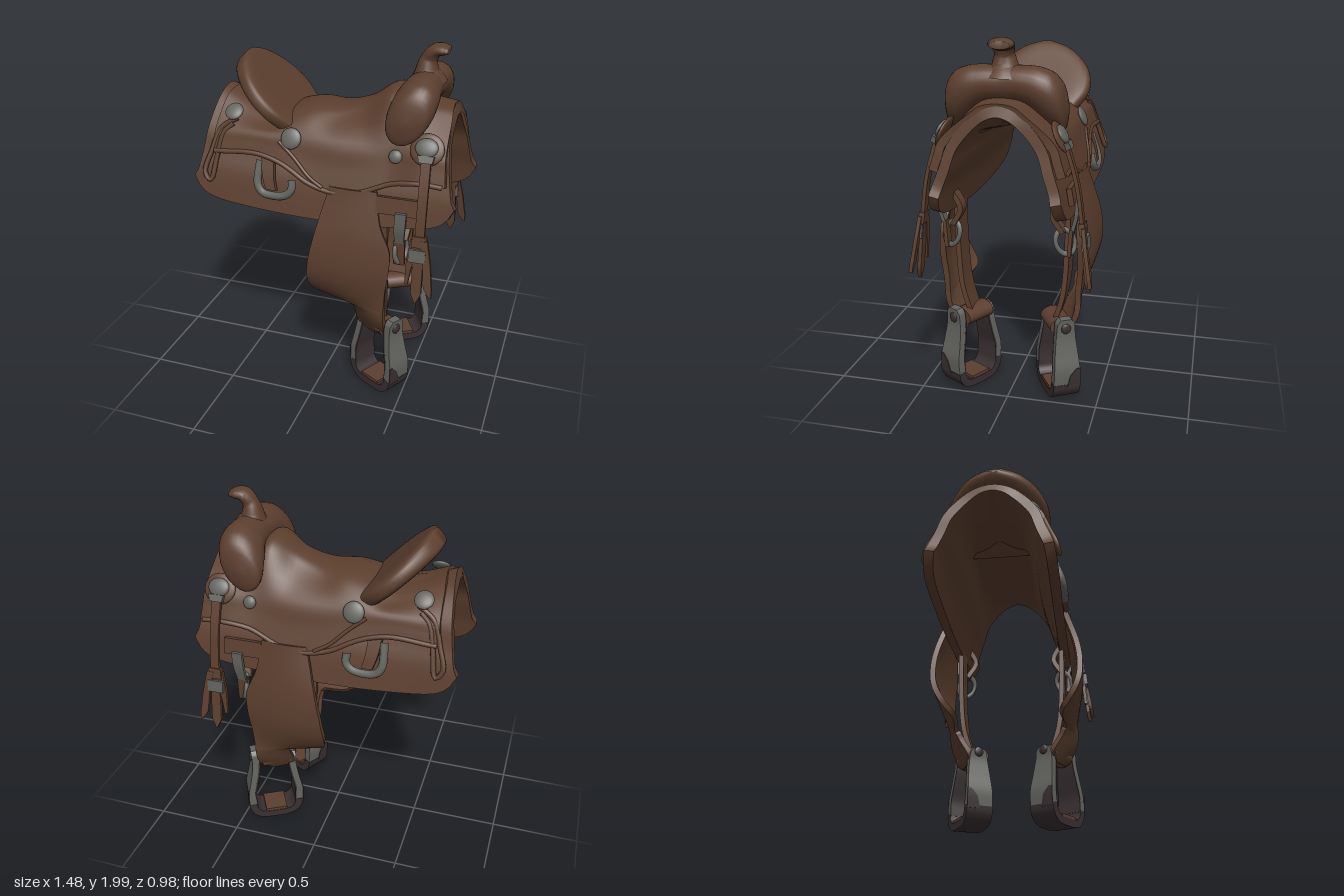
import * as THREE from 'three';
import { toCreasedNormals } from 'three/addons/utils/BufferGeometryUtils.js';

const V = (x, y, z) => new THREE.Vector3(x, y, z);

// Smooth lookup through rows of [key, value, value...]
function table(rows) {
  const n = rows[0].length - 1;
  const it = new THREE.CubicInterpolant(rows.map(r => r[0]), rows.flatMap(r => r.slice(1)), n, new Float32Array(n));
  return n === 1 ? t => it.evaluate(t)[0] : t => Array.from(it.evaluate(t));
}

// Closed solid through rings of equal, even point count
function loft(rings, crease = 0.7) {
  const n = rings[0].length, pos = [], idx = [];
  rings.forEach(r => r.forEach(p => pos.push(p.x, p.y, p.z)));
  const quad = (a, b, c, d) => idx.push(a, b, c, a, c, d);
  for (let i = 0; i < rings.length - 1; i++)
    for (let j = 0; j < n; j++) {
      const k = (j + 1) % n;
      quad(i * n + j, i * n + k, (i + 1) * n + k, (i + 1) * n + j);
    }
  const last = (rings.length - 1) * n;
  for (let j = 0; j < n / 2 - 1; j++) {
    quad(j, n - 1 - j, n - 2 - j, j + 1);
    quad(last + j, last + j + 1, last + n - 2 - j, last + n - 1 - j);
  }
  // Turn the faces outward
  const all = rings.flat();
  let vol = 0;
  for (let i = 0; i < idx.length; i += 3) vol += all[idx[i]].dot(all[idx[i + 1]].clone().cross(all[idx[i + 2]]));
  if (vol < 0) idx.reverse();
  const g = new THREE.BufferGeometry();
  g.setAttribute('position', new THREE.Float32BufferAttribute(pos, 3));
  g.setIndex(idx);
  return toCreasedNormals(g, crease);
}

// Sheet fn(u, v) given a thickness along its normal
function slab(fn, nu, nv, th) {
  const rings = [], e = 0.01;
  for (let i = 0; i <= nu; i++) {
    const front = [], back = [], u = i / nu;
    for (let j = 0; j <= nv; j++) {
      const v = j / nv, p = fn(u, v);
      const du = fn(Math.min(1, u + e), v).sub(fn(Math.max(0, u - e), v));
      const dv = fn(u, Math.min(1, v + e)).sub(fn(u, Math.max(0, v - e)));
      front.push(p);
      back.unshift(du.cross(dv).normalize().multiplyScalar(th).add(p));
    }
    rings.push([...front, ...back]);
  }
  return loft(rings);
}

// Bar along points [x, y, z, halfWidth, halfThickness]; width runs along the given axis
function sweep(pts, wide, sides = 4, steps = 24) {
  const path = new THREE.CatmullRomCurve3(pts.map(p => V(p[0], p[1], p[2])));
  const rings = [];
  for (let i = 0; i <= steps; i++) {
    const t = i / steps, f = t * (pts.length - 1), k = Math.min(pts.length - 2, Math.floor(f));
    const mix = c => THREE.MathUtils.lerp(pts[k][c], pts[k + 1][c], f - k);
    const thin = path.getTangent(t).cross(wide).normalize(), c = path.getPoint(t);
    const s = sides === 4 ? Math.SQRT2 : 1;
    rings.push(Array.from({ length: sides }, (_, j) => {
      const a = (j + 0.5) / sides * Math.PI * 2;
      return c.clone().addScaledVector(wide, s * mix(3) * Math.cos(a)).addScaledVector(thin, s * mix(4) * Math.sin(a));
    }));
  }
  return loft(rings, sides === 4 ? 0.7 : 1.2);
}

function mirrored(geo) {
  const g = geo.index ? geo.toNonIndexed() : geo.clone();
  g.scale(1, 1, -1);
  for (const name of ['position', 'normal']) {
    const a = g.attributes[name].array;
    for (let i = 0; i < a.length; i += 9)
      for (let c = 0; c < 3; c++) [a[i + 3 + c], a[i + 6 + c]] = [a[i + 6 + c], a[i + 3 + c]];
  }
  return g;
}

export function createModel() {
  const model = new THREE.Group();
  const mat = (name, color) => Object.assign(new THREE.MeshStandardMaterial({ color }), { name });
  const leather = mat('brown leather', 0x5c3f2e), metal = mat('grey metal', 0x62635e), dark = mat('dark metal', 0x392f31);
  const add = (name, geo, m = leather) => {
    const mesh = new THREE.Mesh(geo, m);
    mesh.name = name;
    model.add(mesh);
  };
  const pair = (name, geo, m) => { add(name + 'Near', geo, m); add(name + 'Far', mirrored(geo), m); };
  const X = V(1, 0, 0), Z = V(0, 0, 1);

  // Half width of the skirt at each height
  const sideZ = table([[1.05, 0.365], [1.25, 0.333], [1.38, 0.288], [1.5, 0.247], [1.58, 0.2], [1.65, 0.11]]);
  const arch = (half, s, x) => {
    const pts = [...half.slice(1).reverse().map(([z, y]) => V(0, y, -z)), ...half.map(([z, y]) => V(0, y, z))];
    const p = new THREE.CatmullRomCurve3(pts).getPoint(s);
    return p.setX(x(Math.abs(2 * s - 1)));
  };

  // Skirt, narrower at the waist
  add('skirt', slab((u, v) => {
    const q = 2 * u - 1, ridge = 1.56 + 0.12 * q * q, low = 1.07 + 0.06 * q * q + 0.1 * q ** 16, waist = 1 - q * q;
    const half = [[0, ridge], [0.09, ridge - 0.025], [0.175, THREE.MathUtils.lerp(ridge, 1.5, 0.52)],
      ...[[1.48, 0.03], [1.37, 0.03], [1.27, 0.02], [low, 0.008]].map(([y, k]) => [sideZ(y) - k * waist, y])];
    return arch(half, v, s => q * (0.65 + 0.088 * s ** 1.6));
  }, 48, 40, 0.055));

  // Seat and jockeys, one draped layer flaring at the front
  const top = table([[-0.61, 1.675], [-0.45, 1.61], [-0.3, 1.585], [-0.2, 1.62], [-0.1, 1.64], [0.05, 1.642], [0.2, 1.69], [0.34, 1.775], [0.44, 1.73], [0.66, 1.69]]);
  const seatW = table([[-0.61, 0.15], [-0.3, 0.2], [-0.1, 0.19], [0.2, 0.125], [0.34, 0.15], [0.66, 0.14]]);
  const hem = table([[-0.6, 1.38], [-0.35, 1.39], [-0.2, 1.35], [-0.05, 1.275], [0.1, 1.245], [0.25, 1.27], [0.4, 1.33], [0.55, 1.355], [0.69, 1.35]]);
  const lift = x => 0.026 + 0.026 * THREE.MathUtils.smoothstep(x, 0.35, 0.55);
  add('seatJockey', slab((u, v) => {
    const x = -0.6 + 1.25 * u, t = top(x), w = seatW(x), h = hem(x);
    const half = [[0, t], [w * 0.6, t - 0.012], [w, t - 0.05],
      ...[1.5, (1.5 + h) / 2, h].map(y => [sideZ(y) + lift(x), y])];
    return arch(half, v, s => x + 0.035 * s * (2 * u - 1));
  }, 50, 44, 0.045));

  // Raised seams laid on the sides
  const onSide = (x, y, off = 0.028) => V(x, y, sideZ(y) + off);
  const cord = (pts, r) => new THREE.TubeGeometry(new THREE.CatmullRomCurve3(pts), 40, r, 8);
  pair('jockeyHem', cord(Array.from({ length: 20 }, (_, i) => -0.62 + i * 0.068).map(x => onSide(x, hem(x), lift(x) - 0.004)), 0.014));
  pair('rearSeam', cord([[-0.5, 1.56], [-0.59, 1.5], [-0.635, 1.38], [-0.665, 1.26], [-0.63, 1.22], [-0.6, 1.36], [-0.57, 1.48], [-0.52, 1.53]].map(p => onSide(...p, 0.018)), 0.014));
  pair('seatSeam', cord([[-0.24, 1.47], [-0.15, 1.4], [-0.05, 1.31], [0.03, 1.265]].map(p => onSide(...p)), 0.01));

  // Cantle, a dished oval plate leaning back
  const cantleW = table([[0, 0.22], [0.3, 0.295], [0.6, 0.28], [0.85, 0.19], [0.95, 0.12], [1, 0.05]]);
  add('cantle', loft(Array.from({ length: 25 }, (_, i) => {
    const t = Math.sin(i / 24 * Math.PI / 2), w = cantleW(t), th = 0.066 * (1 - 0.3 * t ** 14);
    return Array.from({ length: 32 }, (_, j) => {
      const a = (j + 0.5) / 32 * Math.PI * 2, c = Math.cos(a), s = Math.sin(a);
      const z = w * Math.sign(c) * Math.abs(c) ** 0.8;
      let n = th * Math.sign(s) * Math.abs(s) ** 0.6;
      if (s > 0) n -= 0.02 * (1 - (z / w) ** 2) * (1 - t ** 6);
      return V(-0.19 - 0.355 * t + n * 0.7, 1.51 + 0.345 * t + n * 0.71, z);
    });
  }), 1.2));

  // Swell, rounded sections from side to side
  const swell = table([[0, 0.485, 1.765, 0.1, 0.1], [0.12, 0.485, 1.76, 0.108, 0.11], [0.2, 0.475, 1.72, 0.14, 0.12],
    [0.27, 0.462, 1.673, 0.148, 0.112], [0.302, 0.455, 1.65, 0.11, 0.085], [0.317, 0.45, 1.645, 0.03, 0.025]]);
  add('swell', loft(Array.from({ length: 41 }, (_, i) => {
    const z = 0.317 * Math.sin((i / 20 - 1) * Math.PI / 2), [cx, cy, b, a] = swell(Math.abs(z));
    return Array.from({ length: 28 }, (_, j) => {
      const q = j / 28 * Math.PI * 2, l = b * Math.sin(q), s = a * Math.cos(q);
      return V(cx + l * 0.35 + s * 0.94, cy + l * 0.94 - s * 0.2, z);
    });
  }), 1.2));

  // Horn
  add('horn', sweep([[0.5, 1.79, 0, 0.13, 0.1], [0.49, 1.86, 0, 0.07, 0.062], [0.5, 1.92, 0, 0.05, 0.044],
    [0.53, 1.962, 0, 0.062, 0.036], [0.57, 1.97, 0, 0.068, 0.03], [0.602, 1.966, 0, 0.055, 0.02]], Z, 20, 30));

  // Round metal ornaments
  const concho = (x, y, off, r, ry = r) => {
    const slope = Math.atan((sideZ(y - 0.02) - sideZ(y + 0.02)) / 0.04);
    return new THREE.SphereGeometry(1, 24, 12).scale(r, ry, 0.018).rotateX(-slope).translate(x, y, sideZ(y) + off);
  };
  pair('rearConcho', concho(-0.525, 1.59, 0.035, 0.052), metal);
  pair('seatConcho', concho(-0.17, 1.495, 0.036, 0.058), metal);
  pair('smallConcho', concho(0.41, 1.47, 0.036, 0.036), metal);
  pair('frontConchoPad', concho(0.575, 1.53, 0.066, 0.09, 0.085));
  pair('frontConcho', concho(0.575, 1.545, 0.088, 0.06, 0.05), metal);

  // Rear dee and its tab
  pair('rearDee', cord([[-0.345, 1.36], [-0.345, 1.23], [-0.31, 1.188], [-0.19, 1.188], [-0.15, 1.225], [-0.15, 1.28]].map(p => onSide(...p, 0.014)), 0.023), metal);
  pair('rearDeeTab', sweep([[-0.3, 1.4, 0.038], [-0.285, 1.28, 0.033], [-0.265, 1.21, 0.03]]
    .map(([x, y, w]) => [x, y, sideZ(y) + 0.012, w, 0.014]), X));

  // Fender, turning toward the stirrup at its foot
  const fenderZ = table([[0.37, 0.27], [0.42, 0.3], [0.5, 0.34], [0.65, 0.385], [0.8, 0.41], [1, 0.4], [1.28, 0.35]]);
  const twist = table([[0.37, 0.52], [0.5, 0.45], [0.65, 0.05], [0.9, -0.1], [1.28, -0.02]]);
  const edge = table([[0.37, 0.23, 0.36], [0.39, 0.21, 0.375], [0.42, 0.2, 0.385], [0.54, 0.2, 0.39], [0.562, 0.185, 0.39], [0.575, 0.09, 0.39],
    [0.595, 0.025, 0.392], [0.63, -0.015, 0.395], [0.7, -0.04, 0.4], [0.85, -0.03, 0.42], [0.95, -0.01, 0.42], [1.1, 0.025, 0.36], [1.28, 0.07, 0.33]]);
  pair('fender', slab((u, v) => {
    const y = 1.28 - 0.91 * v, [l, r] = edge(y), x = l + (r - l) * u;
    return V(x, y, fenderZ(y) + twist(y) * (x - 0.3) + 0.015 * Math.sin(Math.PI * u));
  }, 14, 90, 0.032));
  pair('stirrupLeather', sweep([[0.31, 1.2, 0.31, 0.075, 0.014], [0.31, 0.85, 0.305, 0.075, 0.014], [0.31, 0.6, 0.285, 0.075, 0.014], [0.31, 0.44, 0.24, 0.07, 0.014]], X));

  // Stirrup, built flat and then turned outward
  const turn = g => g.rotateY(-Math.PI / 6).translate(0.34, 0, 0.255);
  for (const s of [-1, 1]) {
    const h = s > 0 ? 0.495 : 0.46, name = s > 0 ? 'front' : 'rear';
    const leg = (d, t) => [[0.116, h, 0.03], [0.114, h - 0.025, 0.05], [0.112, 0.39, 0.055], [0.128, 0.29, 0.066], [0.146, 0.2, 0.074], [0.142, 0.11, 0.077]]
      .map(([x, y, w]) => [s * (x - d), y, 0, w, t]);
    pair(name + 'StirrupLeg', turn(sweep(leg(0, 0.02), Z)), metal);
    pair(name + 'StirrupLining', turn(sweep(leg(0.021, 0.005), Z)), dark);
    pair(name + 'StirrupBolt', turn(new THREE.SphereGeometry(1, 16, 10).scale(0.012, 0.03, 0.028).translate(s * 0.132, 0.44, 0)), dark);
    // Worn patch on the outer corner
    pair(name + 'StirrupPatch', turn(sweep([[0.166, 0.21, 0.012], [0.167, 0.17, 0.03], [0.163, 0.1, 0.038]]
      .map(([x, y, w]) => [s * x, y, 0.078 - w, w, 0.003]), Z, 4, 8)), dark);
  }
  pair('stirrupBase', turn(sweep([[-0.143, 0.12], [-0.134, 0.08], [-0.1, 0.042], [0, 0.03], [0.1, 0.042], [0.134, 0.08], [0.143, 0.12]]
    .map(([x, y]) => [x, y, 0, 0.078, 0.022]), Z, 4, 32)), dark);
  pair('stirrupTread', turn(new THREE.BoxGeometry(0.13, 0.025, 0.15).translate(0, 0.058, 0)));
  pair('stirrupBar', turn(new THREE.CylinderGeometry(0.014, 0.014, 0.23, 12).rotateZ(Math.PI / 2).translate(0, 0.445, 0)), dark);
  pair('stirrupWrap', turn(new THREE.CylinderGeometry(0.05, 0.05, 0.18, 20).rotateZ(Math.PI / 2).scale(1, 1, 1.4).translate(-0.02, 0.425, 0)));

  // Rigging plate, cinch strap and ring
  pair('riggingPlate', sweep([[0.44, 1.26, 0.342, 0.11, 0.014], [0.44, 1.17, 0.358, 0.11, 0.014]], X, 4, 4));
  pair('cinchLoop', sweep([[0.47, 1.19, 0.375, 0.03, 0.01], [0.465, 1.1, 0.372, 0.03, 0.01], [0.46, 1.01, 0.35, 0.025, 0.01]], X), metal);
  pair('cinchStrap', sweep([[0.47, 1.2, 0.3, 0.035, 0.014], [0.47, 1.1, 0.25, 0.035, 0.014], [0.46, 1.0, 0.3, 0.035, 0.014]], X));
  pair('cinchRing', new THREE.TorusGeometry(0.05, 0.013, 10, 28).scale(1, 1.35, 1).rotateY(1.1).rotateX(-0.35).translate(0.46, 0.945, 0.31), metal);
  pair('cinchTongue', sweep([[0.46, 1.02, 0.345, 0.03, 0.01], [0.46, 0.87, 0.335, 0.03, 0.01]], X, 4, 4));

  // Hanging strings with buckle and pointed tails
  pair('tieStrap', sweep([[0.58, 1.52, 0.325, 0.025, 0.01], [0.585, 1.3, 0.39, 0.025, 0.01], [0.585, 1.05, 0.425, 0.025, 0.01],
    [0.585, 0.9, 0.44, 0.028, 0.01], [0.585, 0.78, 0.452, 0.028, 0.01], [0.585, 0.725, 0.46, 0.004, 0.01]], X, 4, 40));
  pair('tieTailFront', sweep([[0.61, 1.08, 0.43, 0.02, 0.01], [0.635, 0.95, 0.45, 0.02, 0.01], [0.65, 0.83, 0.47, 0.022, 0.01], [0.668, 0.78, 0.478, 0.004, 0.01]], X));
  pair('tieTailRear', sweep([[0.56, 1.08, 0.42, 0.02, 0.01], [0.54, 0.95, 0.43, 0.018, 0.01], [0.528, 0.82, 0.44, 0.008, 0.01]], X));
  pair('tieBuckle', sweep([[0.58, 1.03, 0.436, 0.045, 0.016], [0.58, 0.96, 0.442, 0.045, 0.016]], X, 4, 4), metal);
  pair('tieKeeper', sweep([[0.585, 1.1, 0.42, 0.035, 0.016], [0.585, 1.04, 0.428, 0.04, 0.016]], X, 4, 4));
  pair('tieStrapSlot', sweep([[0.58, 1.51, 0.335, 0.045, 0.014], [0.58, 1.475, 0.35, 0.035, 0.014]], X, 4, 4), metal);
  return model;
}
